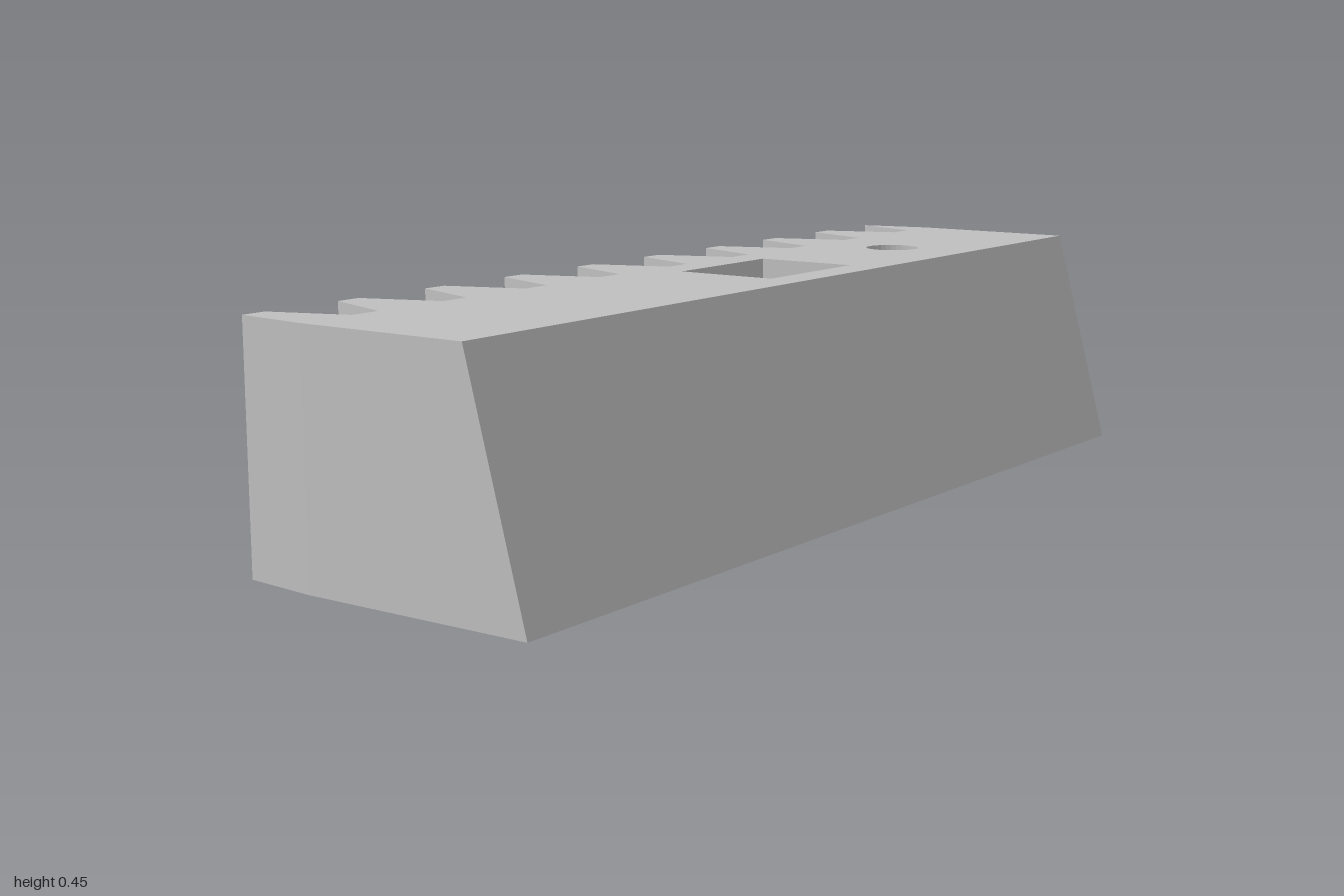
import * as THREE from 'three';

const HEIGHT = 0.45, POCKET_FLOOR = 0.15;
const ROOT = -0.16, TIP = -0.31, TOP_EDGE = 0.19, BASE_EDGE = 0.31;

// Points are [x, z]; the long back edge leans outward towards the base.
const leanX = (x, y) => (x >= TOP_EDGE - 1e-6 ? BASE_EDGE + (TOP_EDGE - BASE_EDGE) * y / HEIGHT : x);
const toVectors = (points) => points.map(([x, z]) => new THREE.Vector2(x, -z));

// Flat horizontal face, optionally with holes, facing up or down
function cap(points, y, holes = [], faceDown = false) {
  const shape = new THREE.Shape(toVectors(points.map(([x, z]) => [leanX(x, y), z])));
  for (const hole of holes) shape.holes.push(new THREE.Path(toVectors(hole)));
  const geometry = new THREE.ShapeGeometry(shape);
  geometry.rotateX(faceDown ? Math.PI / 2 : -Math.PI / 2);
  if (faceDown) geometry.scale(1, 1, 1);
  geometry.translate(0, y, 0);
  return geometry;
}

// Vertical wall along a closed loop; counter-clockwise from above faces outward
function wall(points, y0, y1) {
  const positions = [];
  points.forEach((a, i) => {
    const b = points[(i + 1) % points.length];
    const at = ([x, z], y) => [leanX(x, y), y, z];
    positions.push(...at(a, y0), ...at(b, y0), ...at(b, y1), ...at(a, y0), ...at(b, y1), ...at(a, y1));
  });
  const geometry = new THREE.BufferGeometry();
  geometry.setAttribute('position', new THREE.Float32BufferAttribute(positions, 3));
  geometry.computeVertexNormals();
  return geometry;
}

// Rack outline: straight back edge, ten teeth, the first and last cut short
function rackOutline() {
  const points = [[ROOT, 1], [TOP_EDGE, 1], [TOP_EDGE, -1], [ROOT, -1], [TIP, -0.967], [ROOT, -0.913]];
  for (let i = 0; i < 9; i++) {
    const z = -0.80 + i * 0.217;
    points.push([ROOT, z - 0.053], [TIP, z], [TIP, z + 0.05]);
    if (i < 8) points.push([ROOT, z + 0.104]);
  }
  return points;
}

export function createModel() {
  const model = new THREE.Group();
  model.name = 'toothedRack';
  const grey = new THREE.MeshStandardMaterial({ color: 0xbfbfbf });
  grey.name = 'grey';
  const add = (name, geometry) => {
    const mesh = new THREE.Mesh(geometry, grey);
    mesh.name = name;
    model.add(mesh);
  };

  const outline = rackOutline();
  const squareHole = [[-0.09, 0.067], [0.12, 0.067], [0.12, -0.213], [-0.09, -0.213]];
  const roundHole = Array.from({ length: 32 }, (_, i) => {
    const angle = i / 32 * Math.PI * 2;
    return [0.013 + 0.056 * Math.cos(angle), -0.555 - 0.056 * Math.sin(angle)];
  });

  // Body
  add('topFace', cap(outline, HEIGHT, [squareHole, roundHole]));
  add('toothedSides', wall(outline, 0, HEIGHT));
  // Mirrored in z because the downward turn flips the plan
  add('baseFace', cap(outline.map(([x, z]) => [x, -z]), 0, [], true));

  // Blind pockets
  for (const [name, hole] of [['squarePocket', squareHole], ['roundPocket', roundHole]]) {
    add(name + 'Walls', wall([...hole].reverse(), POCKET_FLOOR, HEIGHT));
    add(name + 'Floor', cap(hole, POCKET_FLOOR));
  }
  return model;
}
